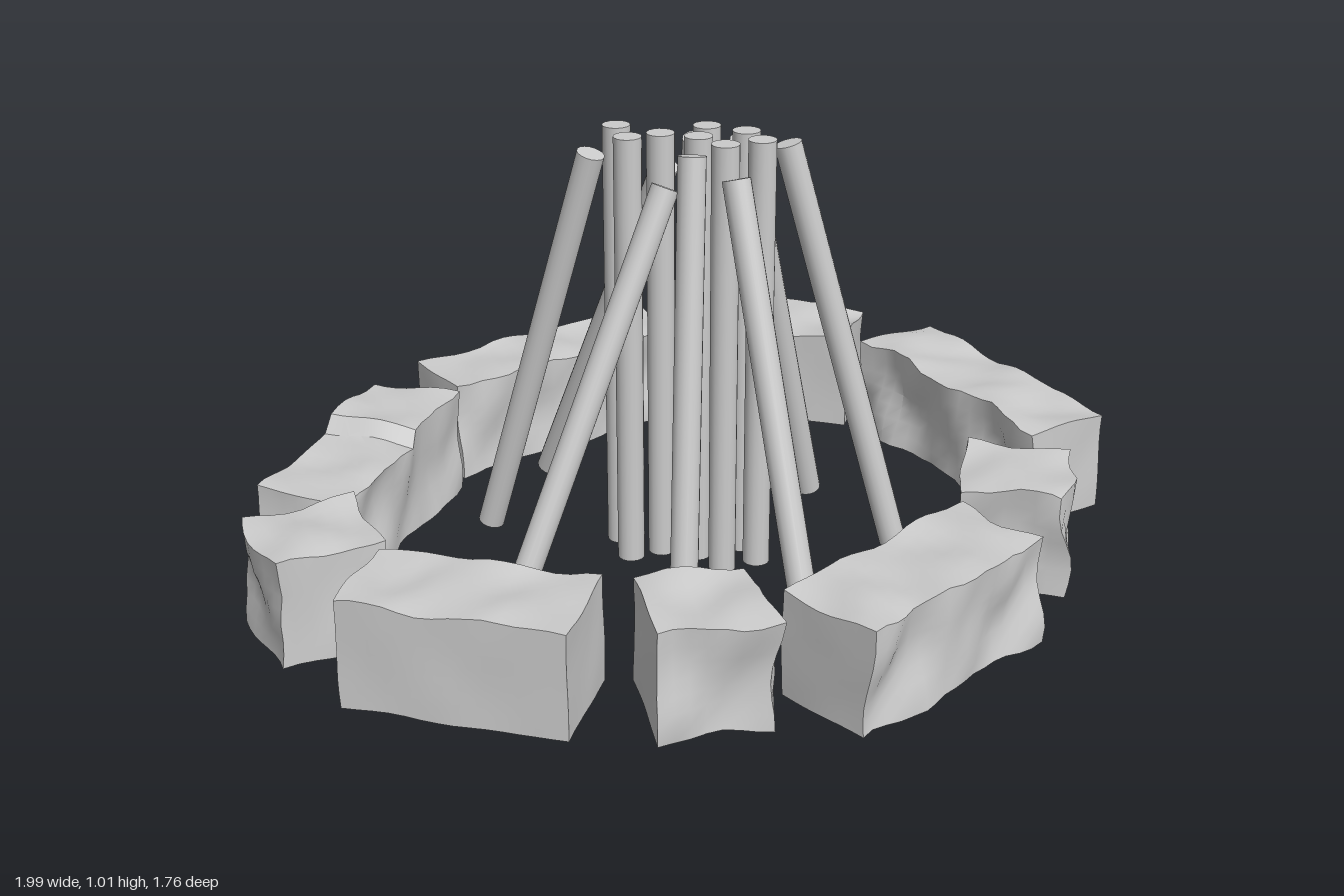
import * as THREE from 'three';
import { toCreasedNormals } from 'three/addons/utils/BufferGeometryUtils.js';

const material = new THREE.MeshStandardMaterial({ color: 0xcccccc });

// smooth, repeatable bumps in about -1..1
function bump(a, b, seed) {
  return 0.55 * Math.sin(a * 19 + seed * 2.1 + 1.5 * Math.sin(b * 13 + seed))
    + 0.45 * Math.sin(b * 24 + seed * 3.7 + 1.2 * Math.sin(a * 31 - seed));
}

// hewn block: each side is roughened by its own amount [+u, -u, +v, -v]
function stoneGeometry(length, width, rough, seed, step) {
  const height = 0.235;
  const geo = new THREE.BoxGeometry(length, height, width, Math.round(length / 0.035), 7, 7);
  const pos = geo.attributes.position;
  const on = (value, limit) => Math.abs(value - limit) < 1e-4;
  for (let i = 0; i < pos.count; i++) {
    const x = pos.getX(i), y = pos.getY(i), z = pos.getZ(i);
    let dx = 0, dy = 0, dz = 0;
    if (on(x, length / 2)) dx += rough[0] * bump(z, y, seed);
    if (on(x, -length / 2)) dx -= rough[1] * bump(y, z, seed + 1);
    if (on(z, width / 2)) dz += rough[2] * bump(x, y, seed + 2);
    if (on(z, -width / 2)) dz -= rough[3] * bump(x, y, seed + 3);
    if (on(y, height / 2)) {
      dy += 0.008 + 0.011 * bump(x, z, seed + 4);
      // a chipped step across the top
      if (step) dy += x > 0.05 ? 0.012 : -0.022;
    }
    if (on(y, -height / 2)) dy -= 0.003 * bump(x, z, seed + 5);
    pos.setXYZ(i, x + dx, y + dy, z + dz);
  }
  return toCreasedNormals(geo, 0.6);
}

// round pole between two points
function pole(name, from, to) {
  const dir = to.clone().sub(from);
  const geo = toCreasedNormals(new THREE.CylinderGeometry(0.031, 0.031, dir.length(), 16), 0.7);
  const mesh = new THREE.Mesh(geo, material);
  mesh.name = name;
  mesh.position.copy(from).add(to).multiplyScalar(0.5);
  mesh.quaternion.setFromUnitVectors(new THREE.Vector3(0, 1, 0), dir.normalize());
  return mesh;
}

export function createModel() {
  const model = new THREE.Group();
  model.name = 'firePit';

  // ring of stones: x, z, length, width, direction in x and z, side roughness
  const ring = new THREE.Group();
  ring.name = 'stoneRing';
  const stones = [
    [0.02, -0.72, 0.66, 0.20, 123, -13, [0.012, 0.004, 0.016, 0.012]],
    [0.62, -0.62, 0.47, 0.235, 62, 61, [0.004, 0.004, 0.002, 0.018]],
    [0.87, -0.02, 0.66, 0.205, 6, 124, [0.003, 0.01, 0.022, 0.003]],
    [0.62, 0.44, 0.24, 0.25, 35, 30, [0.02, 0.01, 0.02, 0.01]],
    [0.17, 0.69, 0.55, 0.23, 100, -26, [0.02, 0.002, 0.018, 0.003]],
    [-0.28, 0.60, 0.24, 0.235, 43, 13, [0.02, 0.004, 0.018, 0.003]],
    [-0.67, 0.34, 0.485, 0.24, 65, 63, [0.003, 0.003, 0.002, 0.01]],
    [-0.86, -0.05, 0.245, 0.235, 1, 0, [0.016, 0.014, 0.006, 0.006]],
    [-0.61, -0.43, 0.55, 0.225, 78, -68, [0.008, 0.005, 0.014, 0.004]],
  ];
  stones.forEach(([x, z, length, width, dx, dz, rough], i) => {
    const stone = new THREE.Mesh(stoneGeometry(length, width, rough, i * 1.7 + 1, i === 8), material);
    stone.name = `stone${i + 1}`;
    stone.position.set(x, 0.135, z);
    stone.rotation.y = -Math.atan2(dz, dx);
    ring.add(stone);
  });
  model.add(ring);

  // upright poles in the middle: x, z
  const uprights = [
    [-0.09, -0.12], [-0.11, -0.03], [-0.035, -0.02], [0.08, -0.02],
    [0.025, 0.04], [0.135, 0.055], [0.045, 0.12], [0.13, 0.13],
  ];
  uprights.forEach(([x, z], i) => model.add(pole(`uprightPole${i + 1}`,
    new THREE.Vector3(x, 0.01, z), new THREE.Vector3(x, 1.02, z))));

  // leaning poles of equal length: top x, z, foot x, z
  const leaning = [
    [-0.17, -0.085, -0.33, -0.33], [0.02, -0.10, -0.08, -0.53],
    [0.09, -0.085, 0.21, -0.37], [0.17, -0.015, 0.425, -0.11],
    [0.225, 0.08, 0.45, 0.22], [0.03, 0.19, 0.03, 0.52],
    [-0.025, 0.10, -0.14, 0.27], [-0.065, 0.055, -0.49, 0.12],
  ];
  leaning.forEach(([tx, tz, fx, fz], i) => {
    const rise = Math.sqrt(1 - (tx - fx) ** 2 - (tz - fz) ** 2);
    model.add(pole(`leaningPole${i + 1}`,
      new THREE.Vector3(fx, 0.02, fz), new THREE.Vector3(tx, 0.02 + rise, tz)));
  });

  return model;
}
